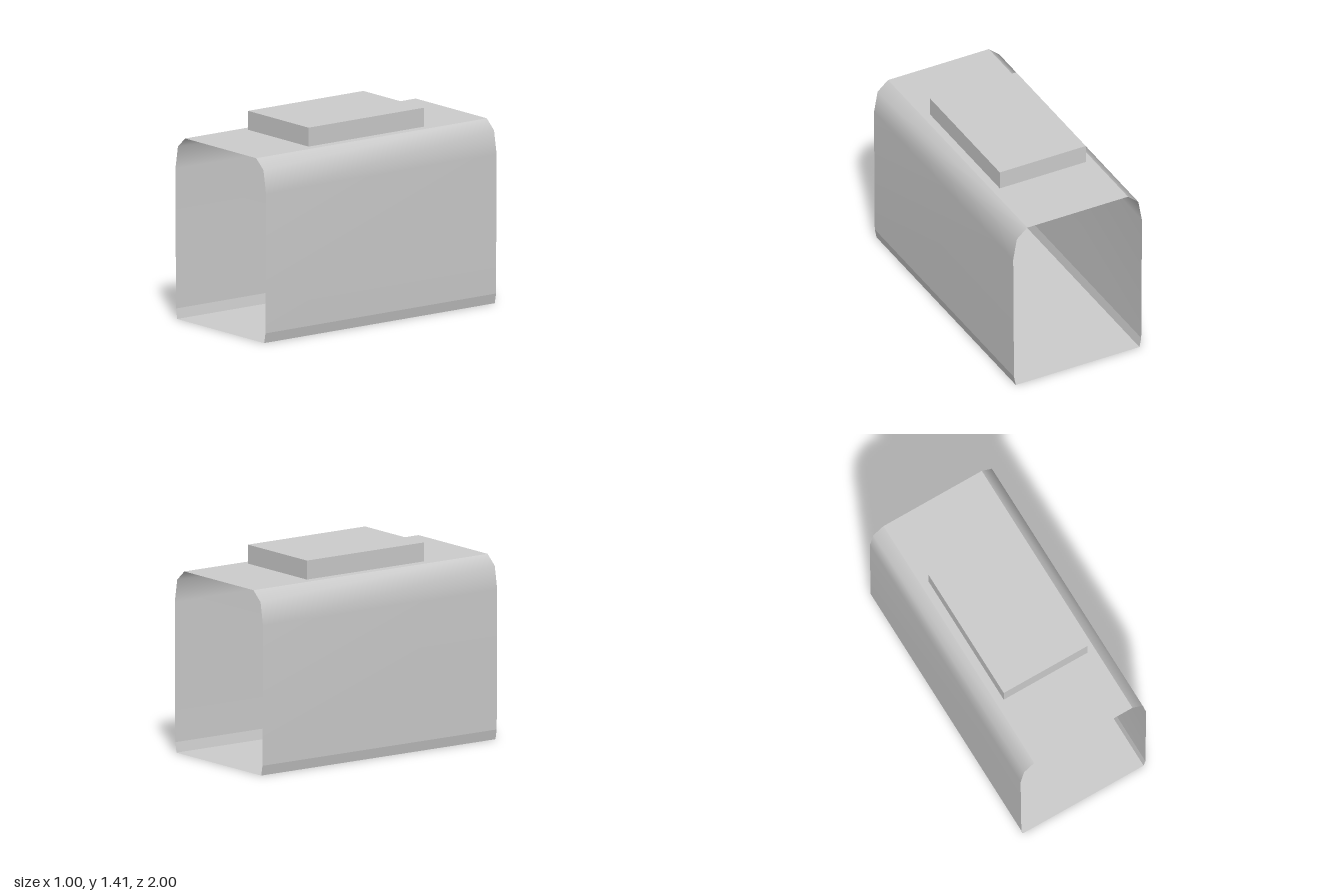
import * as THREE from 'three';

const HALF_LENGTH = 1;

// Sweep a run of [x, y] points along z; normals are smooth within the run
function strip(points) {
  const positions = [], indices = [];
  points.forEach(([x, y], i) => {
    positions.push(x, y, HALF_LENGTH, x, y, -HALF_LENGTH);
    if (i > 0) {
      const a = 2 * (i - 1), b = 2 * i;
      indices.push(a, b, a + 1, b, b + 1, a + 1);
    }
  });
  const geometry = new THREE.BufferGeometry();
  geometry.setAttribute('position', new THREE.Float32BufferAttribute(positions, 3));
  geometry.setIndex(indices);
  geometry.computeVertexNormals();
  return geometry;
}

// Mirror a run and reverse it so that it still faces outward
const mirror = (points) => points.map(([x, y]) => [-x, y]).reverse();

export function createModel() {
  const model = new THREE.Group();
  const grey = new THREE.MeshStandardMaterial({ color: 0xcccccc, side: THREE.DoubleSide });
  grey.name = 'light grey';

  const add = (name, geometry) => {
    const mesh = new THREE.Mesh(geometry, grey);
    mesh.name = name;
    model.add(mesh);
    return mesh;
  };

  // Open-ended shell: rounded shoulders, upright walls, tapered foot
  const wall = [[0.39, 1.275], [0.47, 1.205], [0.498, 1.045], [0.492, 0.07]];
  const foot = [[0.492, 0.07], [0.478, 0]];
  add('roof', strip([[-0.39, 1.275], [0.39, 1.275]]));
  add('floor', strip([[0.478, 0], [-0.478, 0]]));
  add('leftWall', strip(wall));
  add('rightWall', strip(mirror(wall)));
  add('leftFoot', strip(foot));
  add('rightFoot', strip(mirror(foot)));

  // Raised block on the roof
  add('roofBlock', new THREE.BoxGeometry(0.665, 0.132, 1)).position.set(0, 1.342, 0);

  return model;
}
